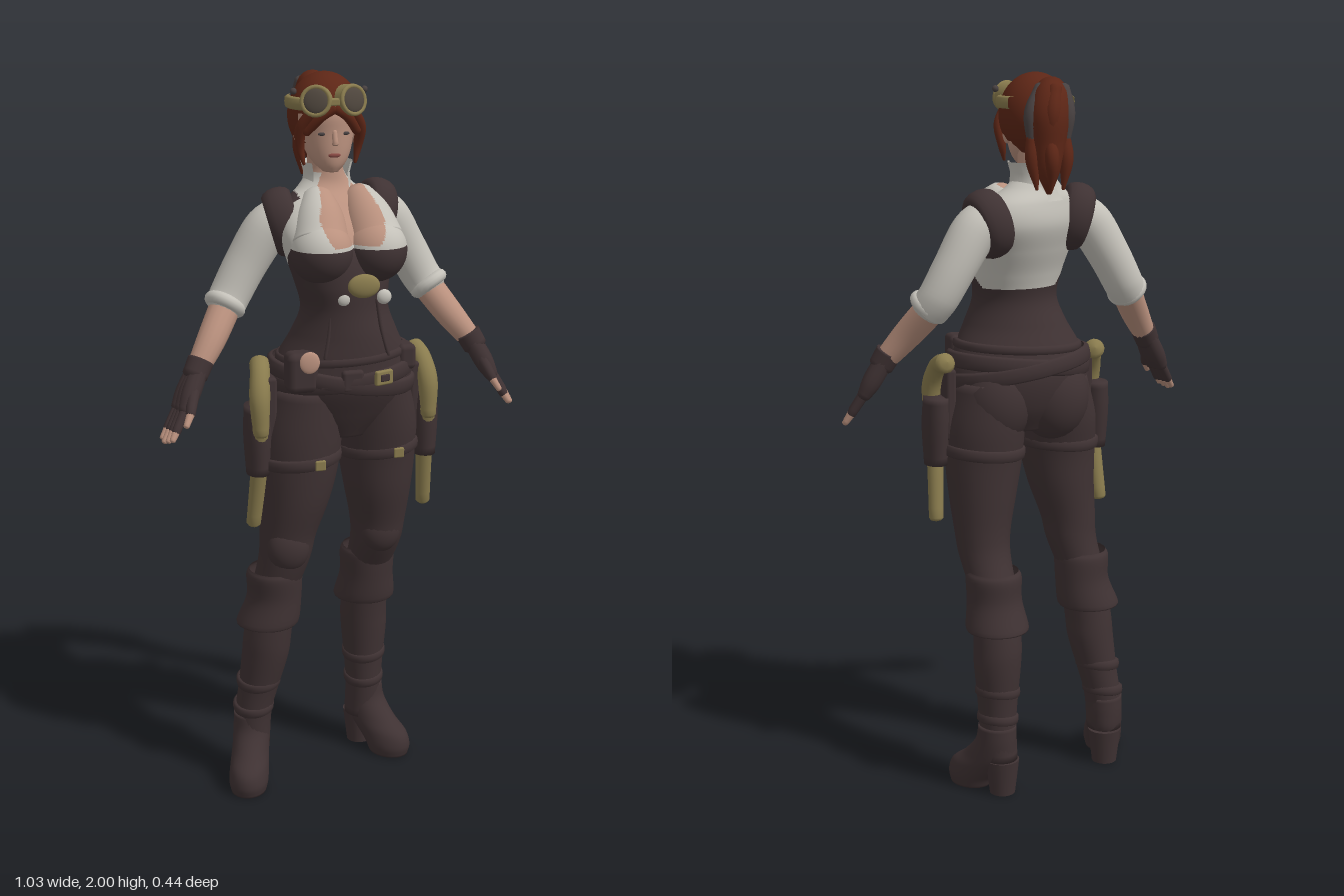
import * as THREE from 'three';
import { RoundedBoxGeometry } from 'three/addons/geometries/RoundedBoxGeometry.js';

const flat = (name, color, side = THREE.FrontSide) => {
  const m = new THREE.MeshStandardMaterial({ color, side });
  m.name = name;
  return m;
};

// Skins a list of closed rings of points; flip sets the winding
function skinRings(rings, flip) {
  const n = rings[0].length, pos = [], idx = [];
  rings.forEach(r => r.forEach(p => pos.push(p.x, p.y, p.z)));
  for (let i = 0; i < rings.length - 1; i++) {
    for (let j = 0; j < n; j++) {
      const a = i * n + j, b = i * n + (j + 1) % n, c = a + n, d = b + n;
      if (flip) idx.push(a, c, b, b, c, d);
      else idx.push(a, b, c, b, d, c);
    }
  }
  const g = new THREE.BufferGeometry();
  g.setAttribute('position', new THREE.Float32BufferAttribute(pos, 3));
  g.setIndex(idx);
  g.computeVertexNormals();
  return g;
}

const curve = pts => new THREE.CatmullRomCurve3(pts, false, 'catmullrom', 0.5);

// Smooth body of level ellipses [x, y, z, rx, rz, twist], listed in order of height
function loft(list, { sides = 24, steps = 5, open = false } = {}) {
  const s = list[0][1] > list[list.length - 1][1] ? [...list].reverse() : list;
  const mid = curve(s.map(r => new THREE.Vector3(r[0], r[1], r[2])));
  const rad = curve(s.map(r => new THREE.Vector3(r[3], r[4], r[5] || 0)));
  const total = (s.length - 1) * steps, rings = [];
  const ring = (t, k) => {
    const c = mid.getPoint(t), r = rad.getPoint(t);
    return Array.from({ length: sides }, (_, j) => {
      const a = j / sides * Math.PI * 2, x = Math.cos(a) * r.x * k;
      return new THREE.Vector3(c.x + x, c.y, c.z + Math.sin(a) * r.y * k - x * r.z);
    });
  };
  if (!open) rings.push(ring(0, 0.001));
  for (let i = 0; i <= total; i++) rings.push(ring(i / total, 1));
  if (!open) rings.push(ring(1, 0.001));
  return skinRings(rings, true);
}

// Round limb along [x, y, z, radius], with rounded ends
function limb(list, sides = 16, steps = 6) {
  const mid = curve(list.map(r => new THREE.Vector3(r[0], r[1], r[2])));
  const rad = curve(list.map(r => new THREE.Vector3(r[3], 0, 0)));
  const total = (list.length - 1) * steps, rings = [];
  const frames = mid.computeFrenetFrames(total);
  const ring = (i, k, push) => {
    const t = i / total, c = mid.getPoint(t), r = rad.getPoint(t).x;
    c.addScaledVector(mid.getTangent(t), push * r);
    return Array.from({ length: sides }, (_, j) => {
      const a = j / sides * Math.PI * 2;
      return c.clone().addScaledVector(frames.normals[i], Math.cos(a) * r * k)
        .addScaledVector(frames.binormals[i], Math.sin(a) * r * k);
    });
  };
  rings.push(ring(0, 0.01, -0.5), ring(0, 0.7, -0.35));
  for (let i = 0; i <= total; i++) rings.push(ring(i, 1, 0));
  rings.push(ring(total, 0.7, 0.35), ring(total, 0.01, 0.5));
  return skinRings(rings, false);
}

// Sorts triangles into material groups by their middle point; -1 leaves one out
function paint(g, count, rule) {
  const p = g.attributes.position, src = g.index.array, sets = Array.from({ length: count }, () => []);
  for (let i = 0; i < src.length; i += 3) {
    const t = [src[i], src[i + 1], src[i + 2]];
    const avg = f => t.reduce((s, v) => s + p[f](v), 0) / 3;
    const k = rule(avg('getX'), avg('getY'), avg('getZ'));
    if (k >= 0) sets[k].push(...t);
  }
  g.setIndex(sets.flat());
  let start = 0;
  sets.forEach((s, k) => { g.addGroup(start, s.length, k); start += s.length; });
  return g;
}

const ball = (x, y, z, rx, ry, rz, seg = 24) =>
  new THREE.SphereGeometry(1, seg, Math.ceil(seg * 0.7)).scale(rx, ry, rz).translate(x, y, z);
const box = (x, y, z, w, h, d, r = 0.01) => new RoundedBoxGeometry(w, h, d, 2, r).translate(x, y, z);

export function createModel() {
  const leather = flat('dark leather', 0x3f3233, THREE.DoubleSide);
  const shirt = flat('pale shirt', 0xc4c1b9, THREE.DoubleSide);
  const skin = flat('skin', 0xba917e), hair = flat('red hair', 0x5d2616, THREE.DoubleSide);
  const brass = flat('aged brass', 0x8a7c4e, THREE.DoubleSide), grey = flat('grey hair wrap', 0x484141);
  const lens = flat('smoky lens', 0x50473e), lip = flat('lips', 0x8a4a44);
  const model = new THREE.Group();
  const add = (name, geo, mat, parent = model) => {
    const m = new THREE.Mesh(geo, mat);
    m.name = name;
    parent.add(m);
    return m;
  };

  // Torso: corset, lace-edged neckline, shirt and waistcoat armholes
  const clothing = (x, y, z) => {
    if (y > 1.74) return 0;
    const top = 1.425 + THREE.MathUtils.clamp(z / 0.12, 0, 1) * 0.135;
    if (y < top) return 2;
    if (z > 0.03 && y < top + 0.009) return 1;
    const half = y < 1.64 ? 0.088 * Math.sqrt(Math.max(0, 1 - ((y - 1.64) / 0.1) ** 2)) : 0.088 - (y - 1.64) * 0.4;
    if (z > 0 && Math.abs(x - 0.01) < half) return 0;
    return Math.abs(x) > 0.105 && y > 1.53 && z < 0.05 ? 2 : 1;
  };
  const layers = [skin, shirt, leather];
  add('torso', paint(loft([
    [0.01, 1.03, 0.03, 0.09, 0.085], [0.01, 1.10, 0.03, 0.18, 0.122], [0.01, 1.18, 0.04, 0.198, 0.147],
    [0.01, 1.25, 0.05, 0.18, 0.142], [0.012, 1.32, 0.063, 0.145, 0.126], [0.012, 1.39, 0.068, 0.122, 0.115, 0.1],
    [0.008, 1.46, 0.06, 0.135, 0.125, 0.2], [0, 1.53, 0.04, 0.15, 0.135, 0.28], [0, 1.60, 0.008, 0.162, 0.13, 0.3],
    [-0.005, 1.66, -0.015, 0.135, 0.097, 0.3], [-0.012, 1.70, -0.022, 0.08, 0.064, 0.15],
    [-0.017, 1.74, -0.018, 0.05, 0.05], [-0.02, 1.80, -0.01, 0.046, 0.046]], { sides: 96, steps: 12 }), 3, clothing), layers);
  for (const [x, z] of [[-0.066, 0.127], [0.085, 0.117]]) {
    add('bust', paint(ball(x, 1.545, z, 0.083, 0.085, 0.087, 80), 3, clothing), layers);
    add('upper bust', paint(limb([[x * 0.75, 1.675, z - 0.105, 0.042], [x * 0.88, 1.625, z - 0.053, 0.066],
      [x, 1.565, z - 0.012, 0.079]], 60, 14), 3, clothing), layers);
  }

  // Stand collar, open at the front
  const collar = new THREE.LatheGeometry([[0.085, 1.665], [0.066, 1.70], [0.062, 1.735], [0.07, 1.765]]
    .map(p => new THREE.Vector2(...p)), 32, Math.PI * 0.27, Math.PI * 1.46);
  add('collar', collar.translate(-0.012, 0, -0.02), shirt);

  // Corset ornaments
  const medal = add('corset clasp', ball(0, 0, 0, 0.044, 0.032, 0.015), brass);
  medal.position.set(0.03, 1.465, 0.193);
  for (const x of [-0.02, 0.09]) add('corset button', ball(x, 1.43, 0.178, 0.02, 0.02, 0.012), shirt);
  for (const x of [-0.05, 0.075])
    add('corset seam', limb([[x, 1.42, 0.163, 0.005], [x * 1.15, 1.34, 0.169, 0.005], [x * 1.4, 1.27, 0.173, 0.005]], 8), leather);

  // Hip belts, buckle and pouches
  const bandShape = (rx, rz, h) => loft([[0, -h / 2, 0, rx - 0.012, rz - 0.012], [0, -h * 0.35, 0, rx, rz],
    [0, h * 0.35, 0, rx, rz], [0, h / 2, 0, rx - 0.012, rz - 0.012]], { sides: 40, steps: 2, open: true });
  const band = (name, x, y, z, rx, rz, h, tilt = 0, pitch = 0) => {
    const b = add(name, bandShape(rx, rz, h), leather);
    b.position.set(x, y, z);
    b.rotation.set(pitch, 0, tilt);
  };
  band('hip belt', 0.01, 1.21, 0.045, 0.204, 0.16, 0.045, 0.1, 0.05);
  band('crossed belt', 0.01, 1.20, 0.042, 0.207, 0.163, 0.045, -0.16, 0.05);
  band('corset hem', 0.01, 1.26, 0.05, 0.182, 0.146, 0.025, 0.05);
  const buckle = add('belt buckle', box(0, 0, 0, 0.055, 0.04, 0.014, 0.005), brass);
  buckle.position.set(0.085, 1.215, 0.197);
  buckle.rotation.y = 0.35;
  add('buckle inset', box(0, 0, 0.003, 0.03, 0.02, 0.014, 0.004), leather, buckle);
  add('hip pouch', box(-0.13, 1.235, 0.15, 0.085, 0.11, 0.07, 0.02), leather);
  add('hip patch', ball(-0.115, 1.265, 0.183, 0.028, 0.03, 0.008), skin);
  add('front pouch', box(0.0, 1.21, 0.19, 0.06, 0.06, 0.03), leather);
  add('side pouch', box(0.17, 1.25, 0.11, 0.05, 0.07, 0.07, 0.015), leather);
  for (const [x, z] of [[-0.075, -0.012], [0.095, -0.022]]) add('seat', ball(x, 1.115, z, 0.1, 0.125, 0.092), leather);

  // Legs: trousers, knee pads, cuffed boots and heeled feet
  const leg = (side, path, foot, yaw) => {
    const y = [1.17, 1.05, 0.95, 0.85, 0.75, 0.68, 0.58, 0.45, 0.38, 0.28, 0.2, 0.1];
    const rx = [0.095, 0.112, 0.108, 0.095, 0.079, 0.072, 0.064, 0.067, 0.066, 0.057, 0.052, 0.05];
    const rz = [0.125, 0.12, 0.106, 0.096, 0.081, 0.078, 0.07, 0.073, 0.071, 0.062, 0.058, 0.056];
    const at = i => [path[i][0], y[i], path[i][1], rx[i], rz[i]];
    add(side + 'Trouser', loft(y.slice(0, 7).map((_, i) => at(i))), leather);
    add(side + 'BootShaft', loft(y.slice(6).map((_, i) => at(i + 6))), leather);
    const [cx, cz] = path[6];
    add(side + 'BootCuff', loft([[cx, 0.645, cz + 0.008, 0.07, 0.076], [cx, 0.625, cz + 0.005, 0.078, 0.083],
      [cx, 0.56, cz, 0.077, 0.081], [path[7][0], 0.485, path[7][1], 0.088, 0.09], [path[7][0], 0.49, path[7][1], 0.068, 0.07]],
    { open: true }), leather);
    add(side + 'KneePad', ball(path[5][0], 0.72, path[5][1] + 0.045, 0.06, 0.07, 0.045), leather);
    band(side + 'ThighStrap', path[2][0], 0.975, path[2][1], 0.116, 0.115, 0.035, 0.08);
    add(side + 'StrapBuckle', box(path[2][0] + 0.03, 0.975, path[2][1] + 0.112, 0.03, 0.028, 0.012, 0.004), brass);
    for (const [h, i] of [[0.3, 9], [0.22, 10]])
      band(side + 'BootFold', path[i][0], h, path[i][1], rx[i] + 0.005, rz[i] + 0.005, 0.03, 0.12, 0.12);
    const g = new THREE.Group();
    g.name = side + 'Foot';
    g.position.set(...foot);
    g.rotation.y = yaw;
    model.add(g);
    add('shoe', loft([[0, 0, 0.1, 0.05, 0.062], [0, 0.03, 0.095, 0.056, 0.074], [0, 0.065, 0.07, 0.055, 0.088],
      [0, 0.1, 0.03, 0.053, 0.082], [0, 0.15, 0.005, 0.052, 0.062], [0, 0.2, 0, 0.05, 0.056]]), leather, g);
    add('heel', new THREE.CylinderGeometry(0.048, 0.036, 0.1, 20).translate(0, 0.05, -0.018), leather, g);
  };
  leg('right', [[-0.088, 0.04], [-0.105, 0.05], [-0.113, 0.06], [-0.125, 0.06], [-0.145, 0.055], [-0.155, 0.052],
    [-0.182, 0.035], [-0.2, 0.03], [-0.207, 0.025], [-0.225, 0.015], [-0.24, 0.01], [-0.245, 0.01]], [-0.245, 0, 0.005], -0.33);
  leg('left', [[0.108, 0.025], [0.12, 0.012], [0.125, 0.006], [0.13, 0], [0.135, -0.012], [0.133, -0.025],
    [0.122, -0.075], [0.12, -0.095], [0.122, -0.1], [0.122, -0.1], [0.122, -0.1], [0.118, -0.105]], [0.125, 0, -0.105], 0.55);
  add('ankle buckle', ball(0.174, 0.128, -0.095, 0.01, 0.028, 0.018, 14), brass);

  // Arms: rolled sleeve, forearm, fingerless glove and fingers
  const arm = (side, s, z, hand) => {
    const [wrist, knuckle, tip] = hand;
    add(side + 'Sleeve', limb([[s * 0.12, 1.625, z[0], 0.055], [s * 0.178, 1.597, z[1], 0.062],
      [s * 0.238, 1.505, z[2], 0.058], [s * 0.283, 1.425, z[3], 0.055], [s * 0.305, 1.39, z[4], 0.053]], 24), shirt);
    const roll = add(side + 'SleeveRoll', new THREE.TorusGeometry(0.04, 0.018, 12, 24), shirt);
    roll.position.set(s * 0.303, 1.398, z[4]);
    roll.lookAt(s * 0.36, 1.31, z[4] + 0.04);
    const hole = add(side + 'WaistcoatShoulder', new THREE.TorusGeometry(0.062, 0.02, 14, 32).scale(1, 1.15, 2), leather);
    hole.position.set(s * 0.138, 1.61, z[0]);
    hole.lookAt(s * 0.24, 1.58, z[0] - 0.02);
    add(side + 'Forearm', limb([[s * 0.29, 1.41, z[3], 0.043], [s * 0.35, 1.32, (z[4] + wrist[2]) / 2 + 0.005, 0.039],
      [...wrist, 0.03]]), skin);
    const mix = (a, b, t, o = 0) => a.map((v, i) => v + (b[i] - v) * t + [-0.3 * s, 0, 0.95][i] * o);
    add(side + 'GloveCuff', limb([[...mix(wrist, knuckle, -0.25), 0.036], [...mix(wrist, knuckle, 0.15), 0.034]]), leather);
    for (const o of [-0.016, 0, 0.016])
      add(side + 'Palm', limb([[...mix(wrist, knuckle, 0, o * 0.5), 0.026], [...mix(wrist, knuckle, 0.6, o), 0.026],
        [...mix(wrist, knuckle, 1, o * 1.3), 0.018]], 12), leather);
    for (let k = -1.5; k <= 1.5; k++) {
      const joint = mix(knuckle, tip, 0.62, k * 0.016), len = 1 - Math.abs(k + 0.4) * 0.07;
      add(side + 'GloveFinger', limb([[...mix(wrist, knuckle, 0.9, k * 0.014), 0.014], [...joint, 0.012]], 10), leather);
      add(side + 'Fingertip', limb([[...joint, 0.0105], [...mix(knuckle, tip, len, k * 0.017), 0.008]], 10), skin);
    }
    const base = mix(wrist, knuckle, 0.4, 0.02), bend = mix(wrist, knuckle, 1, 0.052);
    add(side + 'Thumb', limb([[...base, 0.018], [...bend, 0.013]], 10), leather);
    add(side + 'ThumbTip', limb([[...bend, 0.011], [...mix(knuckle, tip, 0.35, 0.058), 0.008]], 10), skin);
  };
  arm('right', -1, [0.005, 0, -0.005, 0, 0.015], [[-0.4, 1.245, 0.1], [-0.452, 1.15, 0.135], [-0.502, 1.075, 0.175]]);
  arm('left', 1, [-0.085, -0.1, -0.11, -0.105, -0.085], [[0.408, 1.245, -0.005], [0.46, 1.15, 0.018], [0.508, 1.07, 0.045]]);

  // Holstered pistols, with the frame showing ahead of the holster
  for (const [side, x, z, lean] of [['right', -0.234, 0.07, 0.02], ['left', 0.258, 0.01, -0.015]]) {
    const g = new THREE.Group();
    g.name = side + 'Pistol';
    g.position.set(x, 0, z);
    model.add(g);
    add('grip', limb([[lean, 1.232, -0.04, 0.028], [lean * 0.5, 1.215, 0.005, 0.027], [0, 1.155, 0.042, 0.028], [0, 1.06, 0.052, 0.021]]), brass, g);
    add('barrel', limb([[0, 1.08, 0.045, 0.024], [0, 0.95, 0.02, 0.023], [-lean * 0.5, 0.79, -0.008, 0.02]]), brass, g);
    add('holster', loft([[0, 1.13, 0.005, 0.034, 0.05], [0, 1.05, 0.01, 0.038, 0.052], [0, 0.94, 0.013, 0.032, 0.042]]), leather, g);
    add('holster hanger', box(-Math.sign(x) * 0.035, 1.11, 0.005, 0.03, 0.2, 0.07), leather, g);
  }

  // Head and face
  const hx = -0.02;
  add('head', loft([[hx, 1.747, 0.048, 0.02, 0.028], [hx, 1.768, 0.036, 0.042, 0.05], [hx, 1.8, 0.02, 0.06, 0.07],
    [hx, 1.85, 0.006, 0.071, 0.084], [hx, 1.9, 0, 0.075, 0.09], [hx, 1.95, -0.01, 0.062, 0.076], [hx, 1.985, -0.015, 0.03, 0.04]],
  { sides: 36 }), skin);
  add('nose', limb([[hx, 1.855, 0.086, 0.007], [hx, 1.83, 0.094, 0.008], [hx, 1.822, 0.094, 0.009]], 10), skin);
  add('mouth', ball(hx, 1.793, 0.086, 0.017, 0.007, 0.006, 16), lip);
  for (const s of [-1, 1]) {
    add('eye', ball(hx + s * 0.03, 1.848, 0.08, 0.013, 0.005, 0.005, 16), grey);
    add('eyebrow', limb([[hx + s * 0.017, 1.866, 0.085, 0.003], [hx + s * 0.046, 1.868, 0.07, 0.003]], 8), hair);
    add('ear', ball(hx + s * 0.075, 1.84, 0, 0.012, 0.028, 0.018, 14), skin);
  }

  // Hair cap with an opening for the face, fringe locks and ponytail
  add('hairCap', paint(ball(hx, 1.888, -0.012, 0.098, 0.112, 0.102, 48), 1,
    (x, y, z) => (z > 0.035 && y < 1.895) || (z > -0.035 && y < 1.82) ? -1 : 0), hair);
  for (const s of [-1, 1]) {
    add('side lock', limb([[hx + s * 0.05, 1.91, 0.075, 0.016], [hx + s * 0.08, 1.86, 0.05, 0.016], [hx + s * 0.079, 1.81, 0.035, 0.012],
      [hx + s * 0.07, 1.765, 0.04, 0.004]], 10), hair);
    add('fringe', limb([[hx, 1.915, 0.084, 0.016], [hx + s * 0.035, 1.893, 0.08, 0.015], [hx + s * 0.07, 1.85, 0.058, 0.012]], 10), hair);
  }
  add('ponytail', limb([[hx, 1.92, -0.09, 0.03], [hx, 1.95, -0.135, 0.045], [hx + 0.015, 1.895, -0.162, 0.055],
    [hx + 0.02, 1.82, -0.172, 0.045], [hx + 0.025, 1.75, -0.182, 0.03], [hx + 0.02, 1.695, -0.175, 0.008]], 20), hair);
  for (const [dx, dz, mat] of [[-0.042, -0.012, grey], [0.045, 0.005, grey], [0.005, -0.033, hair]]) {
    add('ponytail strand', limb([[hx + dx * 0.6, 1.965, -0.14 + dz, 0.018], [hx + 0.015 + dx, 1.9, -0.165 + dz, 0.023],
      [hx + 0.02 + dx, 1.83, -0.172 + dz * 0.7, 0.014]], 12), mat);
    add('ponytail end', limb([[hx + 0.02 + dx, 1.84, -0.17 + dz * 0.7, 0.015], [hx + 0.02 + dx, 1.78, -0.178 + dz, 0.019],
      [hx + 0.02 + dx * 0.8, 1.705, -0.185 + dz * 0.5, 0.004]], 12), hair);
  }
  add('ponytail tie', new THREE.TorusGeometry(0.032, 0.013, 10, 20).rotateX(0.5).translate(hx, 1.935, -0.108), grey);

  // Goggles pushed up on the forehead, their strap tucked under the hair behind
  const strap = add('goggleStrap', paint(bandShape(0.104, 0.107, 0.034), 1, (x, y, z) => z > -0.05 ? 0 : -1), brass);
  strap.position.set(hx, 1.922, -0.012);
  for (const s of [-1, 1]) {
    const g = new THREE.Group();
    g.name = 'goggleCup';
    g.position.set(hx + s * 0.043, 1.93, 0.068);
    g.rotation.set(-0.2, s * 0.35, 0);
    model.add(g);
    add('cup', new THREE.CylinderGeometry(0.04, 0.045, 0.045, 24).rotateX(Math.PI / 2), brass, g);
    add('lens rim', new THREE.TorusGeometry(0.036, 0.006, 10, 24).translate(0, 0, 0.022), brass, g);
    add('lens', ball(0, 0, 0.022, 0.034, 0.034, 0.01), lens, g);
    add('goggle knob', ball(hx + s * 0.096, 1.955, 0.035, 0.009, 0.009, 0.009, 12), grey);
  }
  add('goggle bridge', box(hx, 1.93, 0.09, 0.03, 0.02, 0.016, 0.005), brass);
  return model;
}
